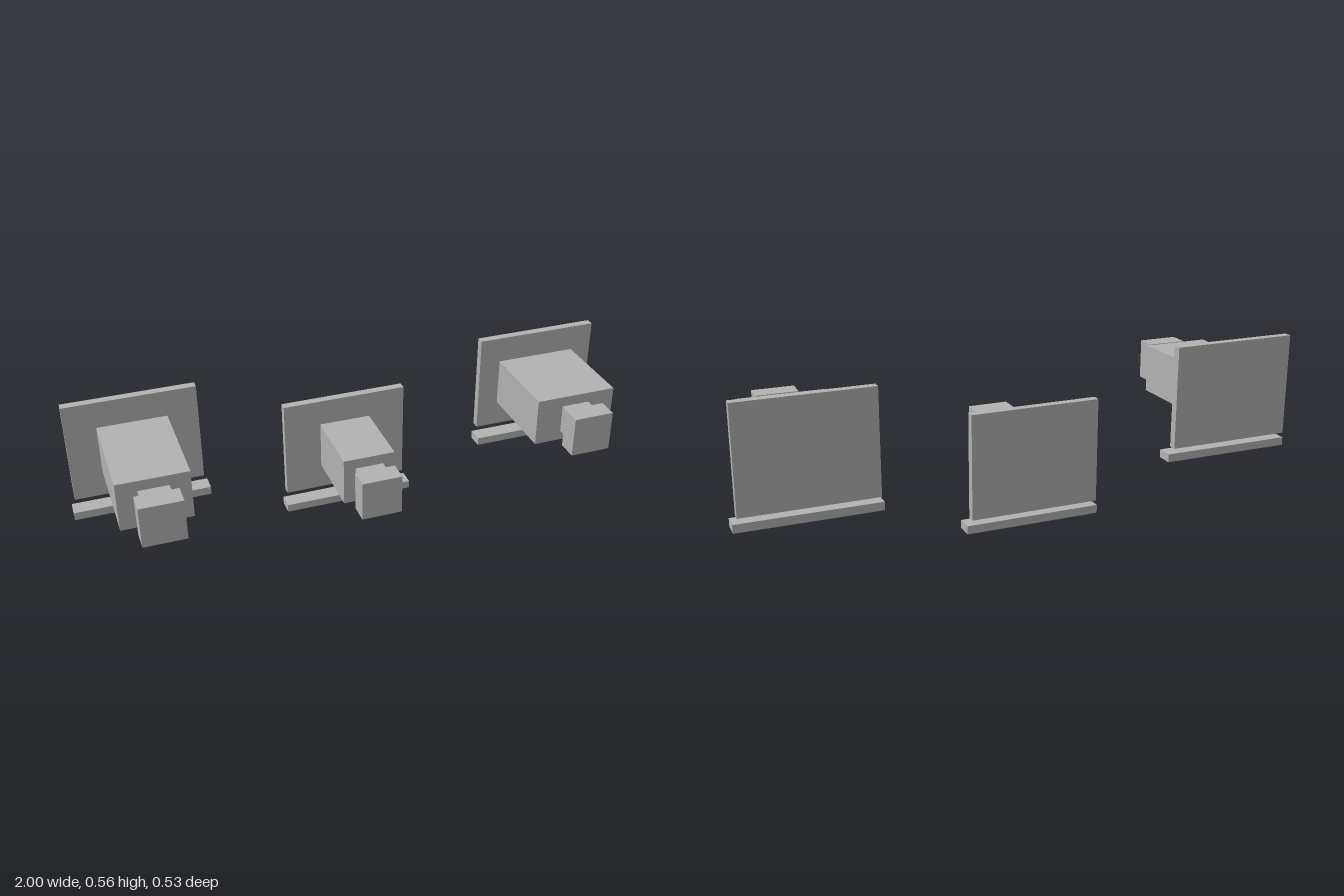
import * as THREE from 'three';

export function createModel() {
  const model = new THREE.Group();
  model.name = 'wallFixtures';
  const grey = new THREE.MeshStandardMaterial({ color: 0xb2b2b2 });
  grey.name = 'grey';

  // Box given by its centre x, width and its y and z ranges
  function box(parent, name, width, [y0, y1], [z0, z1]) {
    const mesh = new THREE.Mesh(new THREE.BoxGeometry(width, y1 - y0, z1 - z0), grey);
    mesh.position.set(0, (y0 + y1) / 2, (z0 + z1) / 2);
    mesh.name = name;
    parent.add(mesh);
  }

  // One fixture: only the body width and its reach forward vary
  function fixture(name, x, y, bodyWidth, bodyFront) {
    const unit = new THREE.Group();
    unit.name = name;
    unit.position.set(x, y, 0);
    box(unit, 'bottomBar', 0.48, [0, 0.029], [-0.248, -0.189]);
    box(unit, 'backPlate', 0.455, [0.053, 0.417], [-0.263, -0.234]);
    box(unit, 'body', bodyWidth, [0.148, 0.322], [-0.234, bodyFront]);
    box(unit, 'underTab', bodyWidth * 0.8, [0.14, 0.148], [-0.152, -0.05]);
    box(unit, 'neck', 0.102, [0.184, 0.285], [bodyFront, bodyFront + 0.059]);
    box(unit, 'head', 0.145, [0.162, 0.307], [bodyFront + 0.059, bodyFront + 0.132]);
    model.add(unit);
  }

  fixture('rightFixture', -0.76, 0.146, 0.242, 0.132);
  fixture('middleFixture', -0.001, 0, 0.187, 0.03);
  fixture('leftFixture', 0.759, 0.132, 0.297, 0.088);
  return model;
}
